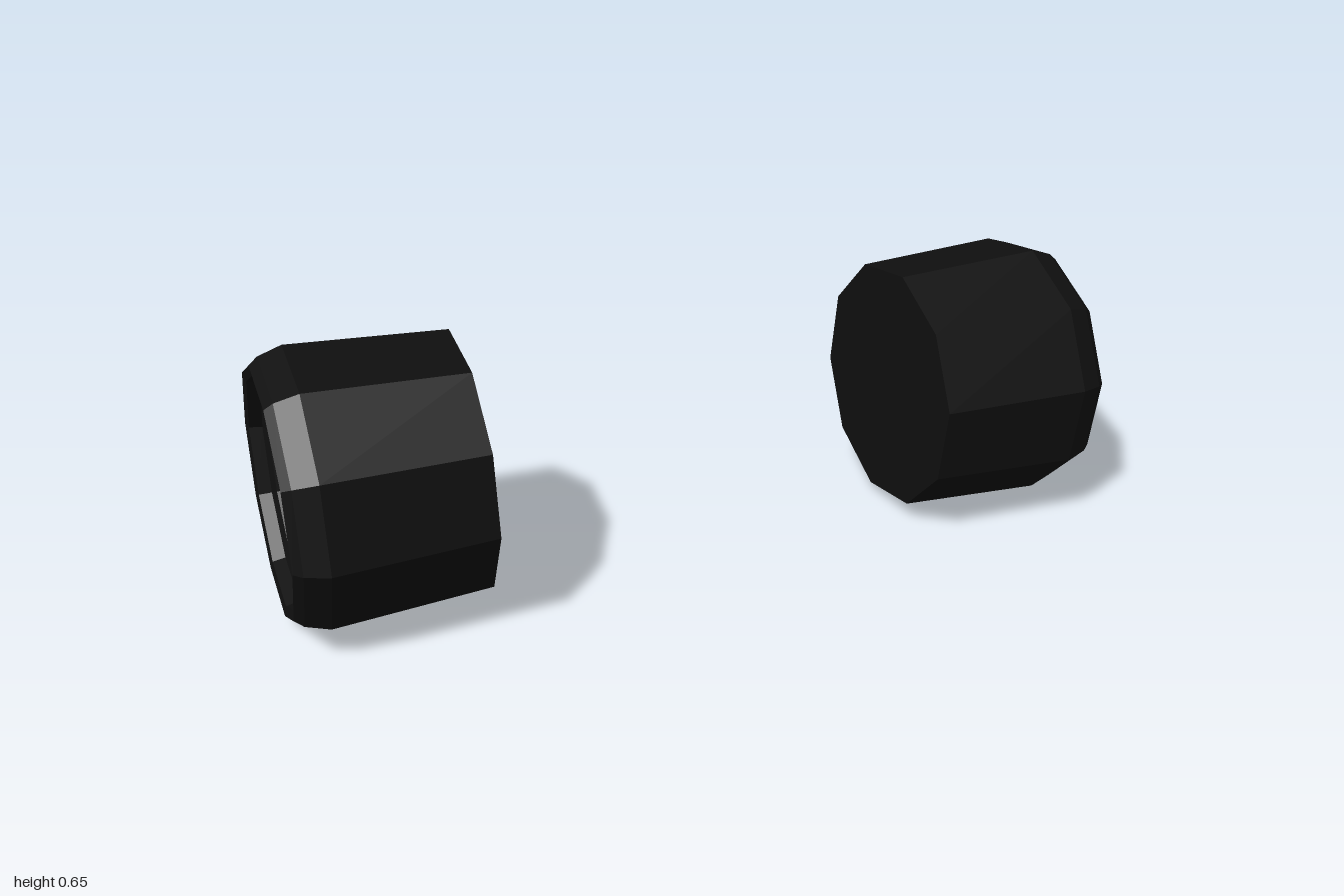
import * as THREE from 'three';

const rubber = new THREE.MeshStandardMaterial({ color: 0x0f0f0f });
rubber.name = 'black';

// Faceted normals, with the geometry's y axis laid along +x when asked
function faceted(geometry, layAlongX = true) {
  if (layAlongX) geometry.rotateZ(-Math.PI / 2);
  const flat = geometry.index ? geometry.toNonIndexed() : geometry;
  flat.computeVertexNormals();
  return flat;
}

function part(name, geometry) {
  const mesh = new THREE.Mesh(geometry, rubber);
  mesh.name = name;
  return mesh;
}

// Ten-sided ring swept around the axle; points are [radius, distance along axle]
function ring(name, points) {
  const profile = points.map(([r, d]) => new THREE.Vector2(r, d));
  return part(name, faceted(new THREE.LatheGeometry(profile, 10, -Math.PI / 20)));
}

function createWheel(name) {
  const wheel = new THREE.Group();
  wheel.name = name;

  // Tyre with a flat inner cap and a chamfered outer shoulder
  wheel.add(ring('tire', [
    [0, 0.555], [0.31, 0.555], [0.33, 0.925], [0.312, 0.98], [0.295, 1], [0.272, 0.995],
  ]));
  // Recessed rim and dished floor
  wheel.add(ring('rim', [
    [0.272, 0.995], [0.265, 0.965], [0.245, 0.955], [0.235, 0.89], [0.17, 0.87], [0, 0.87],
  ]));

  // Five tapered, bevelled spokes
  const outline = new THREE.Shape([
    [-0.025, 0.03], [0.025, 0.03], [0.016, 0.21], [0.009, 0.24], [-0.009, 0.24], [-0.016, 0.21],
  ].map(([x, y]) => new THREE.Vector2(x, y)));
  const spoke = new THREE.ExtrudeGeometry(outline, {
    depth: 0.055, bevelEnabled: true, bevelThickness: 0.012, bevelSize: 0.007, bevelSegments: 1,
  });
  spoke.rotateY(Math.PI / 2).translate(0.868, 0, 0);
  const spokeGeometry = faceted(spoke, false);
  for (let i = 0; i < 5; i++) {
    const mesh = part('spoke', spokeGeometry);
    mesh.rotation.x = (i * Math.PI * 2) / 5;
    wheel.add(mesh);
  }

  // Hexagonal hub with a smaller centre cap
  const hub = new THREE.CylinderGeometry(0.052, 0.062, 0.07, 6, 1, false, Math.PI / 2);
  const hubMesh = part('hub', faceted(hub));
  hubMesh.position.x = 0.907;
  const cap = new THREE.CylinderGeometry(0.03, 0.038, 0.014, 6, 1, false, Math.PI / 2);
  const capMesh = part('hubCap', faceted(cap));
  capMesh.position.x = 0.948;
  wheel.add(hubMesh, capMesh);

  wheel.position.y = 0.326;
  return wheel;
}

export function createModel() {
  const model = new THREE.Group();
  model.name = 'wheelPair';
  const left = createWheel('leftWheel');
  const right = createWheel('rightWheel');
  right.rotation.y = Math.PI;
  model.add(left, right);
  return model;
}
